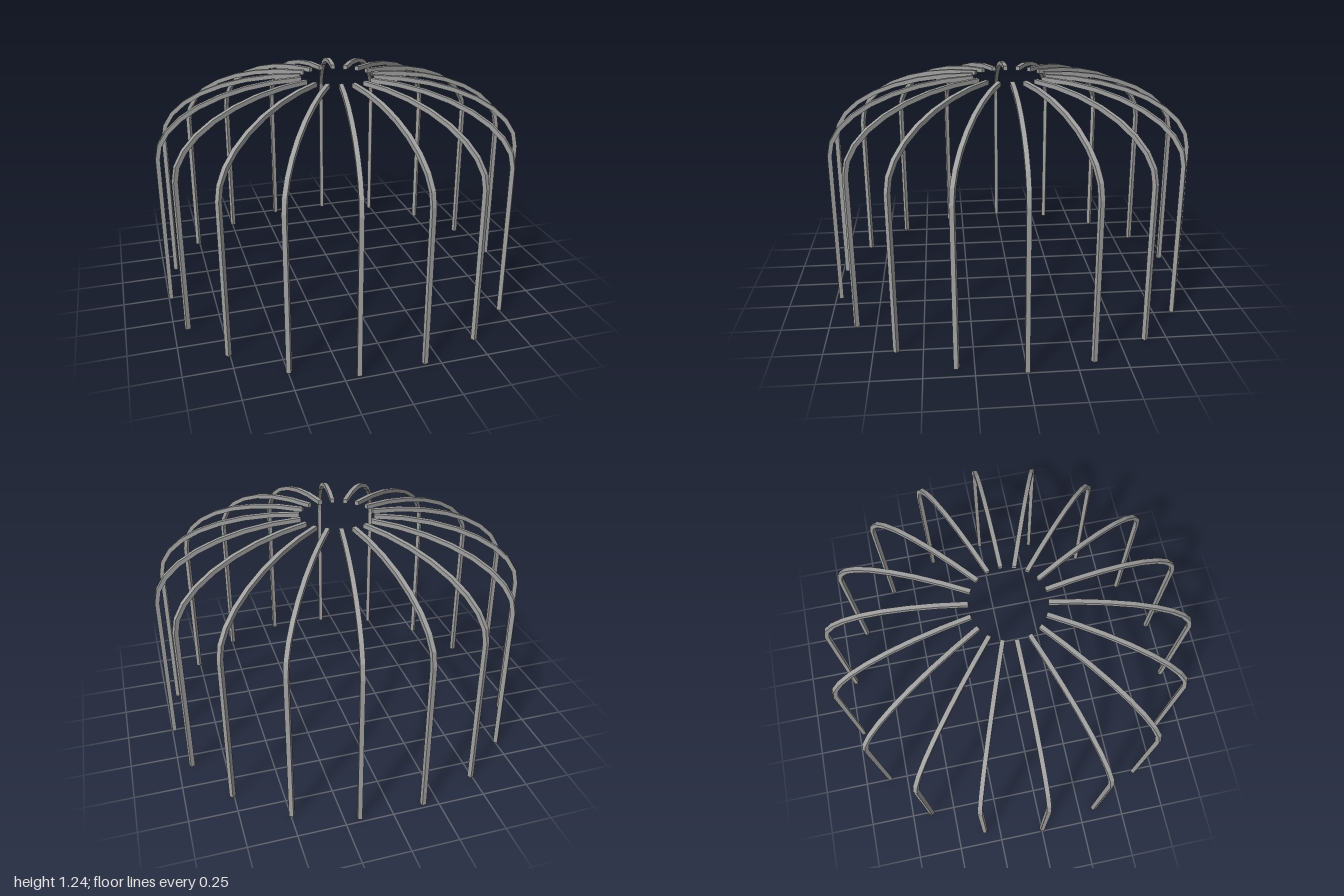
import * as THREE from 'three';

const RIBS = 18;          // evenly spaced around the ring
const BAR = 0.024;        // square bar size
const INNER = 0.2;        // radius of the open crown
const SPRING = 0.85;      // height where the post starts to bend
const A = 0.788, B = 0.377; // half axes of the bend's centre line
const STEPS = 8;

// Side outline of one rib: straight post, then a quarter-ellipse bend inward
function ribShape() {
  const outer = [new THREE.Vector2(INNER + A + BAR / 2, 0)];
  const inner = [new THREE.Vector2(INNER + A - BAR / 2, 0)];
  for (let i = 0; i <= STEPS; i++) {
    const t = (i / STEPS) * Math.PI / 2;
    const c = Math.cos(t), s = Math.sin(t);
    const p = new THREE.Vector2(INNER + A * c, SPRING + B * s);
    const n = new THREE.Vector2(c / A, s / B).normalize().multiplyScalar(BAR / 2);
    outer.push(p.clone().add(n));
    inner.push(p.clone().sub(n));
  }
  return new THREE.Shape([...outer, ...inner.reverse()]);
}

export function createModel() {
  const model = new THREE.Group();
  model.name = 'domeFrame';

  const steel = new THREE.MeshStandardMaterial({ color: 0xa0a0a0 });
  steel.name = 'grey steel';

  const geometry = new THREE.ExtrudeGeometry(ribShape(), { depth: BAR, bevelEnabled: false });
  geometry.translate(0, 0, -BAR / 2);

  // Ribs arranged radially
  for (let i = 0; i < RIBS; i++) {
    const rib = new THREE.Mesh(geometry, steel);
    rib.name = `rib${i + 1}`;
    rib.rotation.y = (i / RIBS) * Math.PI * 2;
    model.add(rib);
  }
  return model;
}
